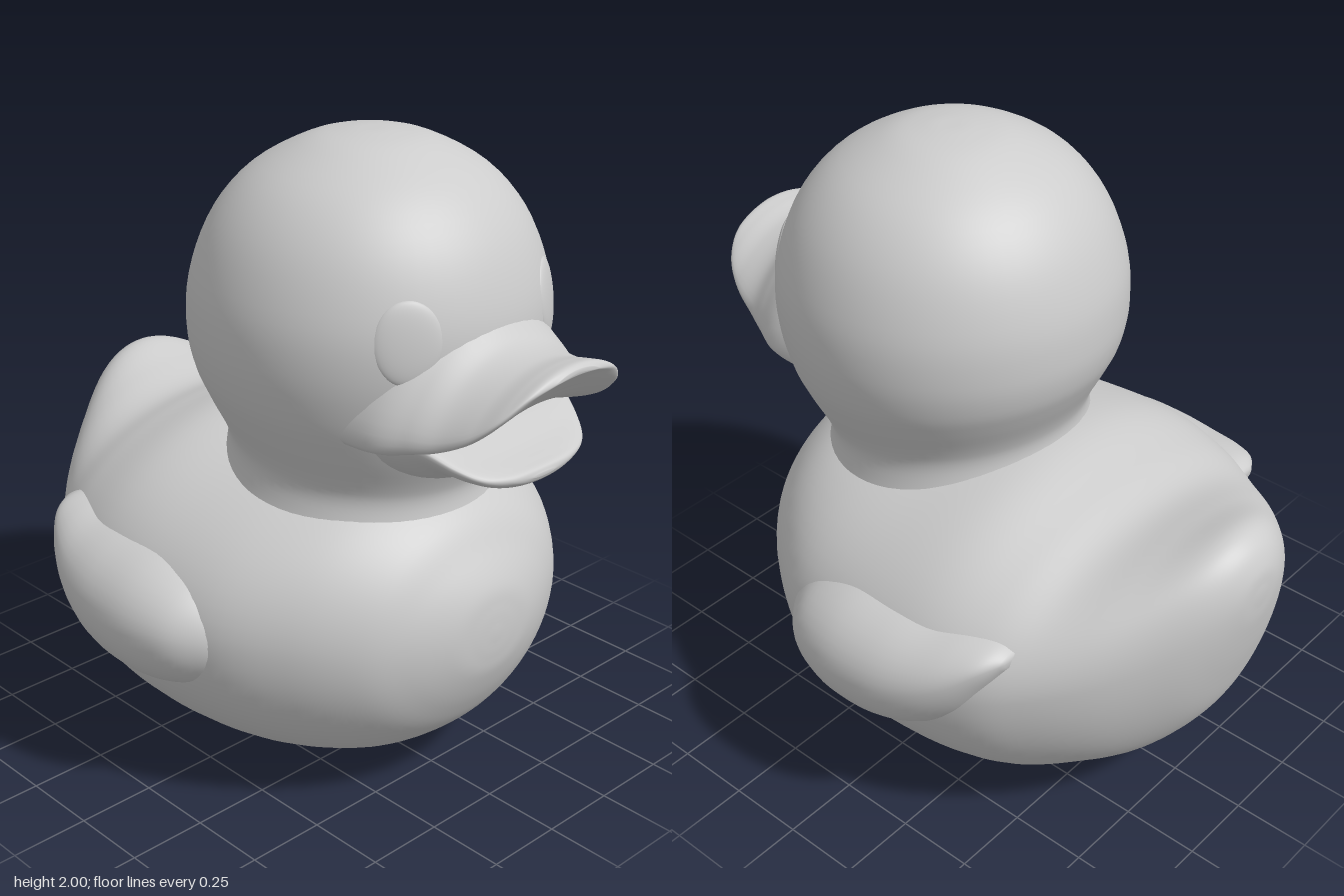
import * as THREE from 'three';
import { mergeVertices } from 'three/addons/utils/BufferGeometryUtils.js';

const rubber = new THREE.MeshStandardMaterial({ color: 0xcccccc });
rubber.name = 'grey rubber';

// Smooth skin over cross-sections, listed front to back:
// [z, bottom, top, half width, y of widest point, lift of the sides]
function loft(sections, cx = 0, rings = 60, sides = 48) {
  const curve = (f) => new THREE.CatmullRomCurve3(sections.map(f), false, 'catmullrom', 0.5);
  const profile = curve((s) => new THREE.Vector3(s[0], s[1], s[2]));
  const spread = curve((s) => new THREE.Vector3(s[3], s[4], s[5] || 0));
  const pos = [], index = [];
  for (let i = 0; i <= rings; i++) {
    const { x: z, y: bottom, z: top } = profile.getPoint(i / rings);
    const { x: w, y: mid, z: lift } = spread.getPoint(i / rings);
    for (let j = 0; j < sides; j++) {
      const a = (j / sides) * Math.PI * 2, c = Math.cos(a), s = Math.sin(a);
      pos.push(cx + w * c, mid + s * (s > 0 ? top - mid : mid - bottom) + lift * c * c, z);
      if (i < rings) {
        const p = i * sides + j, q = i * sides + (j + 1) % sides;
        index.push(p, p + sides, q + sides, p, q + sides, q);
      }
    }
  }
  // close both ends
  for (const [s, ring] of [[sections[0], 0], [sections[sections.length - 1], rings]]) {
    const centre = pos.length / 3;
    pos.push(cx, (s[1] + s[2]) / 2, s[0]);
    for (let j = 0; j < sides; j++) {
      const p = ring * sides + j, q = ring * sides + (j + 1) % sides;
      index.push(centre, ring ? q : p, ring ? p : q);
    }
  }
  const g = new THREE.BufferGeometry();
  g.setAttribute('position', new THREE.Float32BufferAttribute(pos, 3));
  g.setIndex(index);
  g.computeVertexNormals();
  return g;
}

// Round head and neck; the neck line slopes down towards the chest
function headGeometry() {
  const profile = new THREE.SplineCurve([
    [0.45, 0.88], [0.425, 0.97], [0.417, 1.04], [0.435, 1.1], [0.485, 1.2], [0.525, 1.3],
    [0.547, 1.43], [0.535, 1.58], [0.47, 1.75], [0.36, 1.88], [0.2, 1.97], [0.08, 1.997], [0, 2],
  ].map(([r, y]) => new THREE.Vector2(r, y))).getPoints(52);
  profile[profile.length - 1].x = 0;
  let g = new THREE.LatheGeometry(profile, 64);
  const p = g.attributes.position;
  for (let i = 0; i < p.count; i++) {
    const y = p.getY(i), z = p.getZ(i);
    const k = 1 - THREE.MathUtils.smoothstep(y, 1.05, 1.5);
    p.setXYZ(i, p.getX(i), y - 0.15 * z * k, z * 0.985 + 0.195 - 0.02 * k);
  }
  g.deleteAttribute('uv');
  g.deleteAttribute('normal');
  g = mergeVertices(g, 1e-4);
  g.computeVertexNormals();
  return g;
}

export function createModel() {
  const duck = new THREE.Group();
  duck.name = 'bathDuck';
  const add = (name, geometry) => {
    const mesh = new THREE.Mesh(geometry, rubber);
    mesh.name = name;
    duck.add(mesh);
    return mesh;
  };

  // Plump body sweeping back into the raised tail
  add('bodyAndTail', loft([
    [0.75, 0.555, 0.585, 0.015, 0.57], [0.745, 0.49, 0.65, 0.09, 0.57], [0.73, 0.42, 0.72, 0.18, 0.57],
    [0.68, 0.31, 0.81, 0.31, 0.57], [0.6, 0.2, 0.92, 0.44, 0.57], [0.45, 0.09, 1.01, 0.58, 0.58],
    [0.25, 0.03, 1.04, 0.7, 0.58], [0, 0, 1.06, 0.745, 0.58], [-0.25, 0.01, 1.08, 0.74, 0.58],
    [-0.45, 0.035, 1.03, 0.69, 0.6], [-0.6, 0.1, 0.99, 0.6, 0.63], [-0.75, 0.2, 1.02, 0.47, 0.68],
    [-0.88, 0.38, 1.06, 0.31, 0.75], [-0.95, 0.58, 1.035, 0.2, 0.82], [-0.99, 0.76, 0.97, 0.1, 0.87],
    [-1, 0.86, 0.9, 0.02, 0.88],
  ], 0, 90, 64));

  add('headAndNeck', headGeometry());

  // Upper bill: arched, with an upturned tip
  add('upperBill', loft([
    [1, 1.47, 1.485, 0.08, 1.477, -0.01], [0.98, 1.45, 1.495, 0.18, 1.473, -0.035],
    [0.94, 1.41, 1.49, 0.25, 1.45, -0.07], [0.87, 1.35, 1.48, 0.295, 1.42, -0.1],
    [0.78, 1.31, 1.5, 0.325, 1.41, -0.13], [0.7, 1.28, 1.56, 0.36, 1.42, -0.15],
    [0.6, 1.26, 1.62, 0.4, 1.43, -0.17], [0.45, 1.26, 1.64, 0.41, 1.44, -0.18],
  ]));

  // Lower bill: a shallow scoop that meets the upper one at the corners
  add('lowerBill', loft([
    [0.9, 1.14, 1.15, 0.04, 1.145, 0], [0.89, 1.125, 1.165, 0.13, 1.145, 0.01],
    [0.86, 1.11, 1.175, 0.21, 1.145, 0.025], [0.8, 1.1, 1.195, 0.265, 1.155, 0.045],
    [0.7, 1.09, 1.24, 0.315, 1.175, 0.07], [0.6, 1.05, 1.27, 0.345, 1.18, 0.07],
    [0.45, 1.02, 1.27, 0.34, 1.17, 0.07],
  ]));

  for (const [side, s] of [['left', 1], ['right', -1]]) {
    // Folded wing, pointed at the back
    add(side + 'Wing', loft([
      [0.28, 0.54, 0.63, 0.07, 0.58], [0.23, 0.45, 0.7, 0.145, 0.58], [0.14, 0.39, 0.76, 0.22, 0.59],
      [0, 0.355, 0.8, 0.26, 0.59], [-0.17, 0.365, 0.805, 0.26, 0.6], [-0.31, 0.42, 0.8, 0.23, 0.63],
      [-0.42, 0.52, 0.805, 0.18, 0.68], [-0.5, 0.65, 0.8, 0.115, 0.74], [-0.55, 0.74, 0.78, 0.04, 0.765],
    ], s * 0.58, 44, 40));

    // Soft swelling of the eye
    const eye = add(side + 'Eye', new THREE.SphereGeometry(1, 32, 20));
    eye.scale.set(0.1, 0.12, 0.022);
    eye.position.set(s * 0.285, 1.53, 0.633);
    eye.rotation.set(-0.12, s * 0.57, 0, 'YXZ');
  }
  return duck;
}
